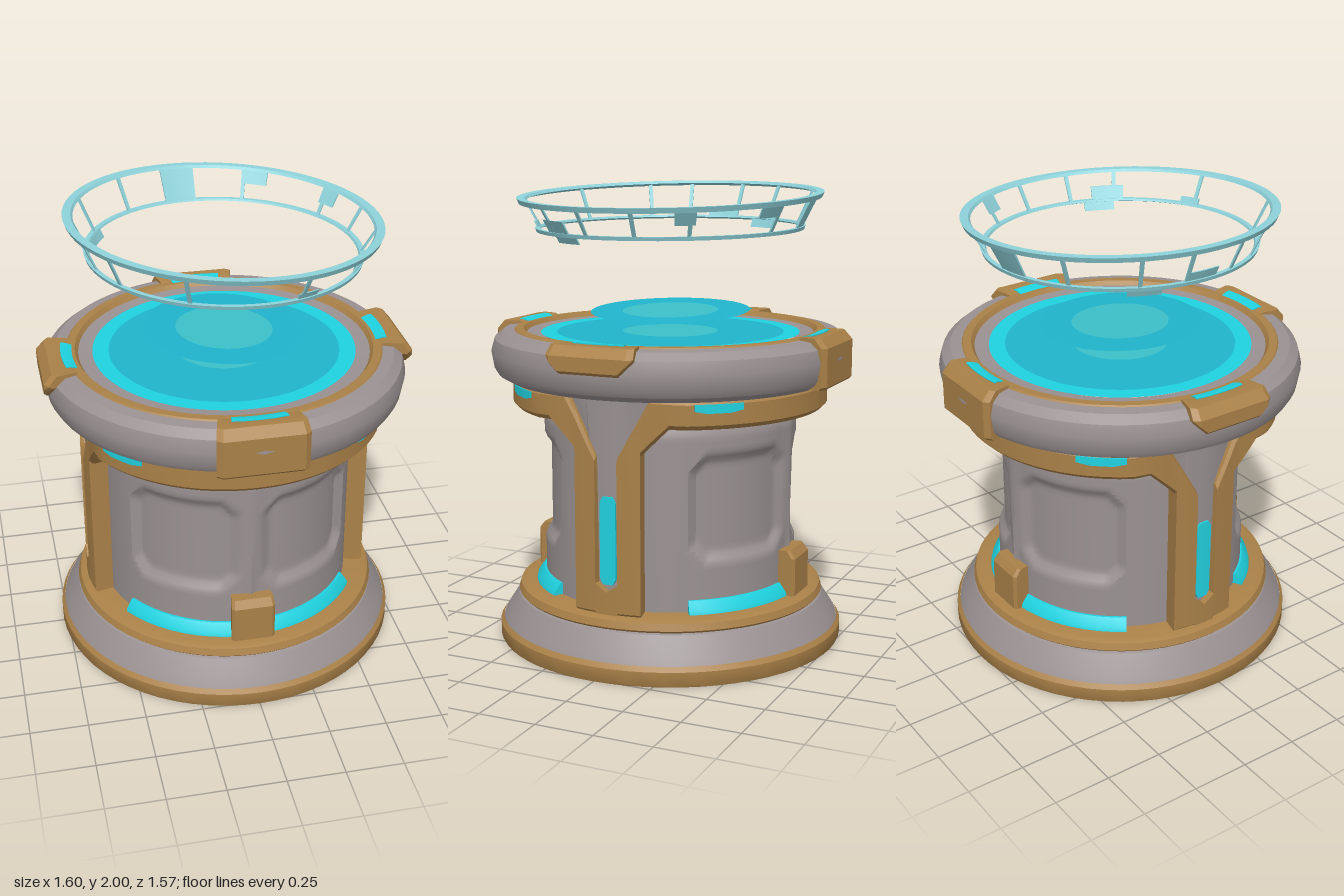
import * as THREE from 'three';
import { toCreasedNormals } from 'three/addons/utils/BufferGeometryUtils.js';

const RAD = Math.PI / 180;
const { lerp, clamp } = THREE.MathUtils;

const flat = (name, color, side = THREE.FrontSide) => {
  const m = new THREE.MeshStandardMaterial({ color, side });
  m.name = name;
  return m;
};

// Point on a circle; angles in degrees, 0 = front, 90 = left (+x)
const polar = (a, r, y) => [r * Math.sin(a * RAD), y, r * Math.cos(a * RAD)];

// Sweeps a counter-clockwise [r, y] section around the y axis, closed at both ends.
// section(d) gives the loop at offset d from the centre angle.
function arcSweep(centre, offsets, section) {
  const rings = offsets.map(d => section(d).map(([r, y]) => polar(centre + d, r, y)));
  const pos = [];
  const tri = (a, b, c) => pos.push(...a, ...b, ...c);
  const n = rings[0].length;
  for (let k = 0; k < rings.length - 1; k++) {
    for (let i = 0; i < n; i++) {
      const j = (i + 1) % n, p = rings[k], q = rings[k + 1];
      tri(p[i], q[i], p[j]);
      tri(q[i], q[j], p[j]);
    }
  }
  const last = rings[rings.length - 1];
  for (let i = 1; i < n - 1; i++) {
    tri(rings[0][0], rings[0][i], rings[0][i + 1]);
    tri(last[0], last[i + 1], last[i]);
  }
  const g = new THREE.BufferGeometry();
  g.setAttribute('position', new THREE.Float32BufferAttribute(pos, 3));
  return toCreasedNormals(g, 0.5);
}

const range = (a, b, n) => Array.from({ length: n + 1 }, (_, i) => lerp(a, b, i / n));
const rect = (r0, r1, y0, y1) => [[r0, y0], [r1, y0], [r1, y1], [r0, y1]];
const lathe = pts => toCreasedNormals(
  new THREE.LatheGeometry(pts.map(p => new THREE.Vector2(...p)), 64), 0.5);
const disc = (r0, r1) => new THREE.RingGeometry(r0, r1, 64).rotateX(-Math.PI / 2);

export function createModel() {
  const model = new THREE.Group();
  model.name = 'hologramPedestal';

  const stone = flat('stone grey', 0x9a9192);
  const gold = flat('bronze', 0xaa8148);
  const glow = flat('bright cyan', 0x1fd2e0);
  const pool = flat('pool blue', 0x20b4cc, THREE.DoubleSide);
  const pale = flat('pale teal', 0x3cc0c9, THREE.DoubleSide);
  const holo = flat('hologram blue', 0x8ed2da, THREE.DoubleSide);

  const add = (name, geo, mat, parent = model) => {
    const m = new THREE.Mesh(geo, mat);
    m.name = name;
    parent.add(m);
    return m;
  };

  // Stepped base
  add('baseUnderside', lathe([[0, 0], [0.765, 0]]), stone);
  add('baseFootBand', lathe([[0.765, 0], [0.77, 0.01], [0.77, 0.065], [0.755, 0.085]]), gold);
  add('baseSlope', lathe([[0.755, 0.08], [0.74, 0.11], [0.685, 0.195], [0.66, 0.205]]), stone);
  add('baseTopBand', lathe([[0.65, 0.195], [0.675, 0.2], [0.685, 0.21], [0.675, 0.24],
    [0.65, 0.25], [0.5, 0.25]]), gold);

  // Drum with four recessed panels and a tapering ridge on the front and back
  const drum = new THREE.CylinderGeometry(0.56, 0.56, 0.84, 180, 42, true, Math.PI / 2);
  drum.translate(0, 0.67, 0);
  const p = drum.attributes.position;
  for (let i = 0; i < p.count; i++) {
    const x = p.getX(i), y = p.getY(i), z = p.getZ(i);
    const u = 0.56 * Math.atan2(Math.abs(x), Math.abs(z));
    const dx = Math.min(u - 0.05, 0.565 - u), dy = Math.min(y - 0.46, 0.92 - y);
    const inset = Math.min(dx, dy, (dx + dy - 0.07) * 0.7);
    let r = 0.56 - 0.03 * clamp(inset / 0.035, 0, 1);
    r += 0.012 * clamp(1 - u / (0.02 + 0.1 * Math.max(0, y - 0.45)), 0, 1);
    if (y > 1) r -= (y - 1) * 0.4;
    const [nx, , nz] = polar(Math.atan2(x, z) / RAD, r, y);
    p.setXYZ(i, nx, y, nz);
  }
  add('drum', toCreasedNormals(drum, 0.6), stone);

  // Forked columns that spread into the upper ring
  const frame = d => {
    const a = Math.abs(d);
    const yt = Math.min(1.175, lerp(0.92, 1.175, (a - 4.5) / 13));
    const yb = a < 13.5 ? 0.24 : Math.min(1.05, lerp(0.93, 1.05, (a - 13.5) / 10.5));
    const ro = lerp(0.645, 0.695, clamp((a - 14) / 16, 0, 1));
    return [[0.53, yb], [ro - 0.02, yb], [ro, yb + 0.02], [ro, yt - 0.02], [ro - 0.015, yt], [0.53, yt]];
  };
  const steps = [4.5, 9, 13.49, 13.5, 17.5, 20.5, 24, ...range(30, 90, 12)];
  const mirrored = steps.map(d => -d).reverse();
  for (const c of [90, -90]) {
    const column = new THREE.Group();
    column.name = c > 0 ? 'leftColumn' : 'rightColumn';
    model.add(column);
    add('forkFront', arcSweep(c, mirrored, frame), gold, column);
    add('forkBack', arcSweep(c, steps, frame), gold, column);
    add('columnFoot', arcSweep(c, [-4.5, 0, 4.5], d =>
      rect(0.53, 0.645, 0.24, 0.345 + 0.035 * Math.abs(d) / 4.5)), gold, column);
    add('grooveFill', arcSweep(c, [-18, -9, -4.5, 0, 4.5, 9, 18], d => {
      const yb = Math.abs(d) < 5 ? 0.3 : Math.abs(d) < 10 ? 0.95 : 1.1;
      return [[0.53, yb], [0.612, yb], [0.625, 1.175], [0.53, 1.175]];
    }), stone, column);
    add('columnLight', arcSweep(c, [-3.3, -2, 0, 2, 3.3], d => {
      const cut = Math.abs(d) > 3 ? 0.025 : 0;
      return rect(0.61, 0.628, 0.375 + cut, 0.75 - cut);
    }), glow, column);
  }

  // Small lights let into the upper ring
  for (const c of [49, 131, 229, 311]) {
    add('ringLight', arcSweep(c, range(-8.5, 8.5, 4), d => {
      const cut = Math.abs(d) > 8 ? 0.01 : 0;
      return rect(0.68, 0.699, 1.12 + cut, 1.157);
    }), glow);
  }

  // Front and back: glowing floor strip and clasp block
  for (const c of [0, 180]) {
    add('floorLight', arcSweep(c, range(-58, 58, 20), () =>
      [[0.54, 0.245], [0.605, 0.245], [0.6, 0.265], [0.57, 0.302], [0.54, 0.302]]), glow);
    add('claspBlock', arcSweep(c, [-8.8, -7.5, 0, 7.5, 8.8], d => {
      const r = (Math.abs(d) > 8 ? 0.618 : 0.63) / Math.cos(d * RAD);
      return [[0.53, 0.24], [r, 0.24], [r, 0.415], [r - 0.025, 0.448], [0.53, 0.448]];
    }), gold);
  }

  // Heavy top rim
  add('rim', lathe([[0.5, 1.17], [0.715, 1.17], [0.76, 1.195], [0.775, 1.22], [0.787, 1.29],
    [0.772, 1.345], [0.735, 1.375], [0.685, 1.38]]), stone);
  add('rimInnerBand', lathe([[0.69, 1.375], [0.68, 1.386], [0.645, 1.386], [0.63, 1.365]]), gold);
  add('poolBorder', lathe([[0.635, 1.367], [0.56, 1.36]]), stone);

  // Clamps over the rim; those at the sides are shallow and tapered
  for (const c of [0, 90, 180, 270]) {
    const side = c % 180 !== 0;
    add(side ? 'sideClamp' : 'endClamp', arcSweep(c, [-14, -12, -9.5, 0, 9.5, 12, 14], d => {
      const a = Math.abs(d);
      const r = (side ? 0.8 : 0.785) / Math.cos(d * RAD) - (a > 13 ? 0.02 : 0);
      const yb = side ? 1.28 + 0.06 * clamp((a - 9.5) / 4.5, 0, 1) : 1.178;
      return [[0.66, yb], [r - 0.012, yb], [r, yb + 0.012], [r, 1.352], [r - 0.035, 1.392],
        [0.69, 1.392], [0.66, 1.38]];
    }), gold);
    add('clampLight', arcSweep(c, range(-9.5, 9.5, 4), () =>
      [[0.656, 1.375], [0.708, 1.388], [0.708, 1.396], [0.69, 1.396], [0.656, 1.385]]), glow);
  }

  // Glowing pool and the tilted disc above it
  add('poolEdge', disc(0.5, 0.57), glow).position.y = 1.366;
  add('poolSurface', disc(0.21, 0.5), pool).position.y = 1.366;
  add('poolCentre', disc(0, 0.21), pale).position.y = 1.366;
  const floating = new THREE.Group();
  floating.name = 'floatingDisc';
  floating.position.y = 1.457;
  floating.rotation.z = -0.045;
  model.add(floating);
  add('discRim', disc(0.21, 0.35), pool, floating);
  add('discCentre', disc(0, 0.21), pale, floating);

  // Hologram crown: two tilted rings joined by a leaning wall (t = 0 low, 1 high)
  const crown = new THREE.Group();
  crown.name = 'hologramCrown';
  model.add(crown);
  const wall = (a, t) => {
    const r = lerp(0.575, 0.645, t);
    const tilt = lerp(0.025, 0.055, t) * r * Math.sin(a * RAD);
    return [r, lerp(1.82, 1.955, t) - tilt];
  };
  const wallPiece = (name, a0, a1, t0, t1, thick = 0.008) => {
    const n = Math.max(1, Math.ceil((a1 - a0) / 5));
    add(name, arcSweep(0, range(a0, a1, n), a => {
      const [r0, y0] = wall(a, t0), [r1, y1] = wall(a, t1);
      return [[r0 - thick, y0], [r0, y0], [r1, y1], [r1 - thick, y1]];
    }), holo, crown);
  };
  const hoop = (name, t, w, h) => add(name, arcSweep(0, range(0, 360, 72), a => {
    const [r, y] = wall(a, t);
    return [[r - w, y], [r + w * 0.6, y - h], [r + w, y + h], [r - w * 0.6, y + h]];
  }), holo, crown);
  hoop('upperHoop', 1, 0.022, 0.011);
  hoop('lowerHoop', 0, 0.013, 0.008);
  for (const a of [20, 58, 78, 100, 122, 160, 215, 243, 262, 285, 303, 335]) {
    wallPiece('crownPost', a - 0.8, a + 0.8, 0, 1);
  }
  // Panels and tabs on the crown wall
  const panels = [[181, 195, 0, 1], [54, 68, 0, 0.5], [116, 124, 0.45, 1], [150, 160, 0.55, 1],
    [58, 72, -0.3, 0], [238, 252, -0.25, 0], [262, 276, 0, 0.3], [18, 27, 0, 0.25]];
  for (const piece of panels) wallPiece('crownPanel', ...piece);

  return model;
}
